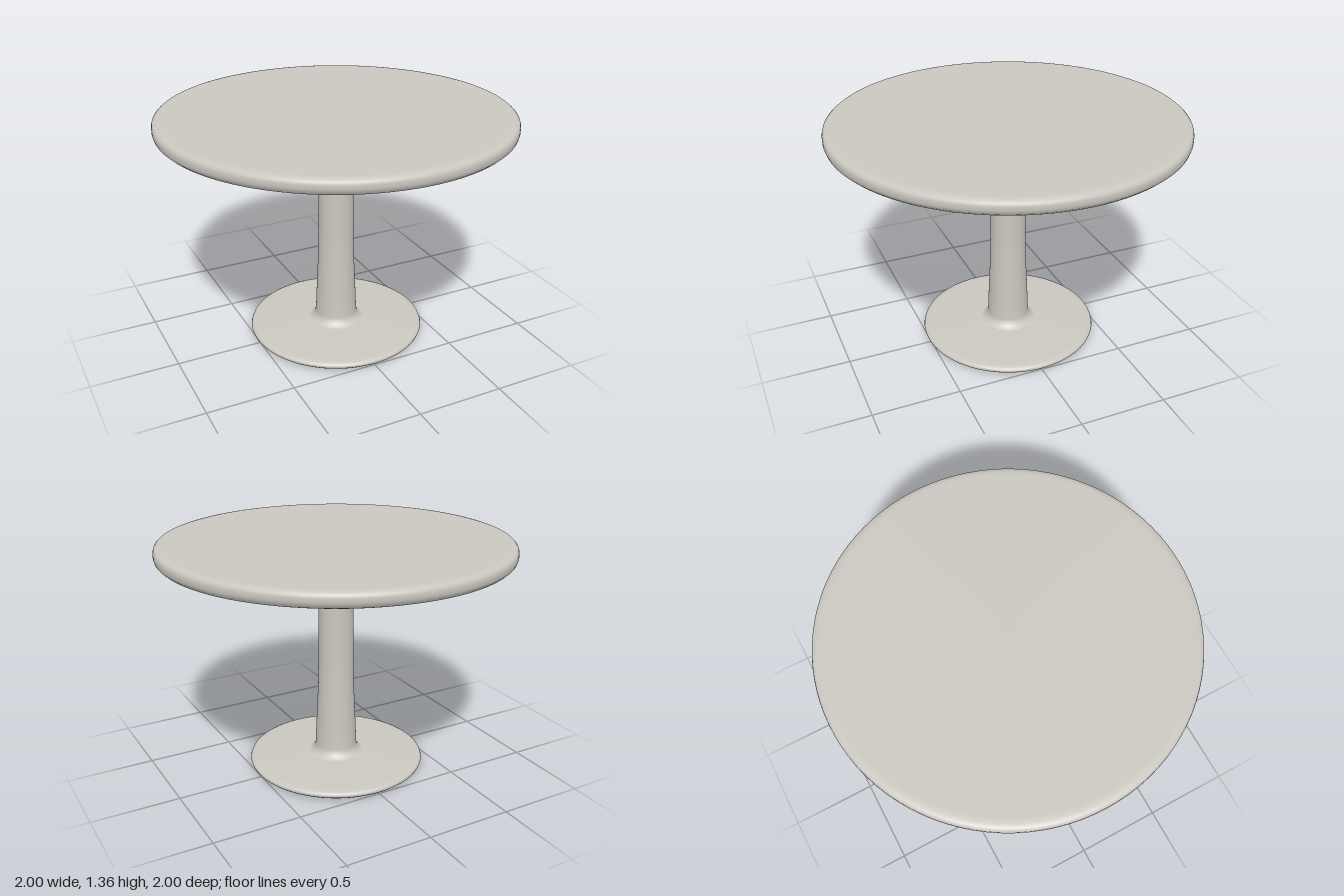
import * as THREE from 'three';

const SEGMENTS = 96;

// Revolve a profile of [radius, height] points listed from bottom to top
function turned(name, profile, material) {
  const points = profile.map(([r, y]) => new THREE.Vector2(r, y));
  const mesh = new THREE.Mesh(new THREE.LatheGeometry(points, SEGMENTS), material);
  mesh.name = name;
  return mesh;
}

export function createModel() {
  const lacquer = new THREE.MeshStandardMaterial({ color: 0xcac7bf });
  lacquer.name = 'warm grey lacquer';

  const table = new THREE.Group();
  table.name = 'pedestalTable';

  // Thin disc foot with a rounded rim and slightly domed top
  table.add(turned('base', [
    [0, 0.003], [0.47, 0.003], [0.485, 0.004], [0.5, 0.01], [0.512, 0.02],
    [0.516, 0.03], [0.512, 0.04], [0.497, 0.047], [0.47, 0.05],
    [0.3, 0.055], [0.17, 0.06], [0.1, 0.064],
  ], lacquer));

  // Tapered column, flared into the foot and widening below the top
  table.add(turned('column', [
    [0.17, 0.058], [0.155, 0.062], [0.14, 0.075], [0.128, 0.09], [0.122, 0.11],
    [0.119, 0.2], [0.112, 0.35], [0.105, 0.5], [0.102, 0.65], [0.1, 0.85],
    [0.099, 1.05], [0.1, 1.09], [0.106, 1.12], [0.114, 1.155], [0.122, 1.195],
  ], lacquer));

  // Round top: shallow conical underside, rounded rim, flat surface
  table.add(turned('tabletop', [
    [0.1, 1.187], [0.122, 1.19], [0.3, 1.214], [0.5, 1.243], [0.6, 1.255],
    [0.75, 1.263], [0.92, 1.27], [0.955, 1.274], [0.98, 1.283], [0.995, 1.297],
    [1, 1.315], [1, 1.335], [0.996, 1.35], [0.985, 1.36], [0.965, 1.364],
    [0.94, 1.365], [0, 1.365],
  ], lacquer));

  return table;
}
